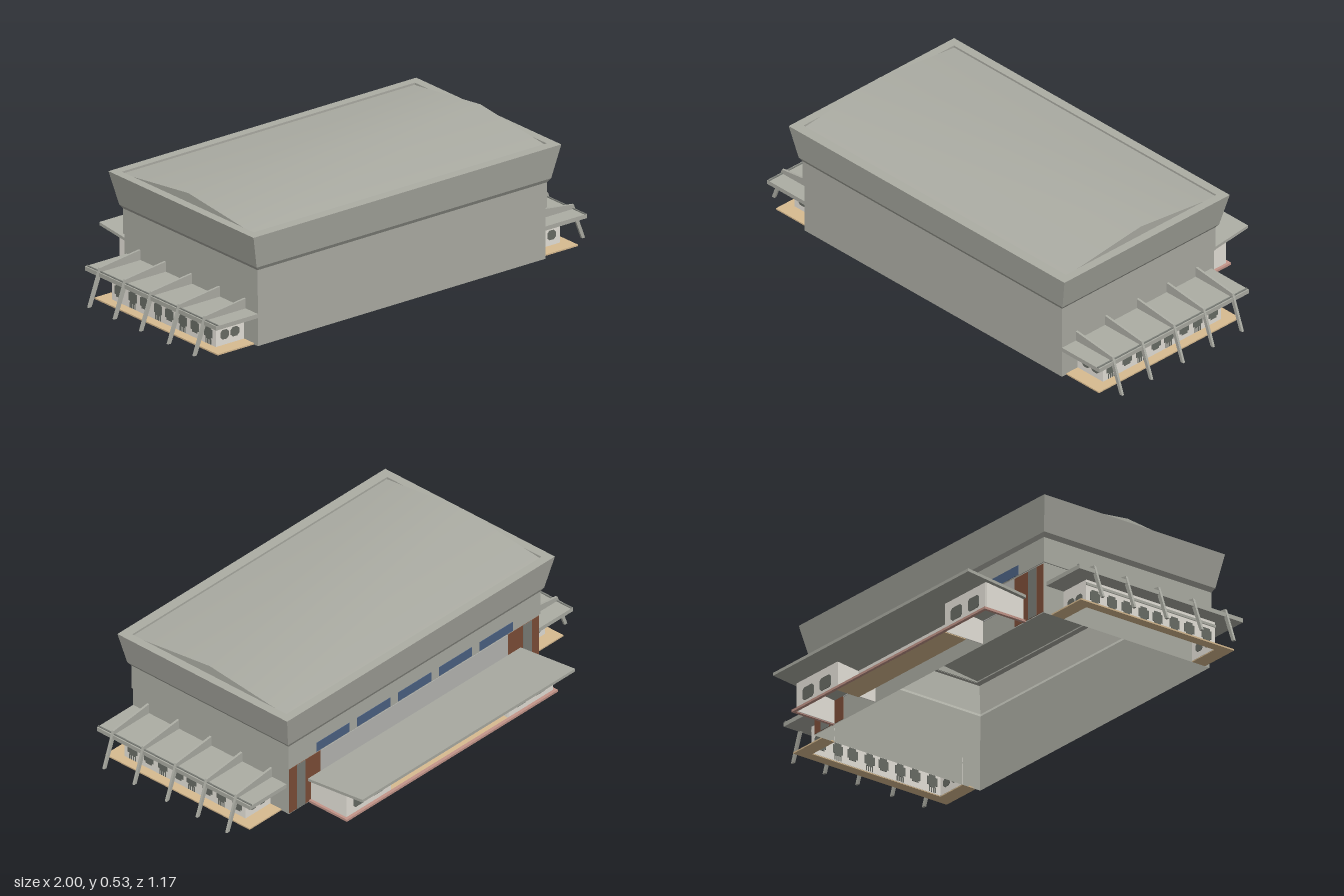
import * as THREE from 'three';

const mat = (name, color, side = THREE.FrontSide) => {
  const m = new THREE.MeshStandardMaterial({ color, side });
  m.name = name;
  return m;
};

export function createModel() {
  const model = new THREE.Group();
  model.name = 'hall';
  const M = {
    concrete: mat('concrete', 0xacada4, THREE.DoubleSide),
    paleConcrete: mat('paleConcrete', 0xb8b9b5),
    frame: mat('frameGrey', 0x7b7e78),
    plaster: mat('plaster', 0xebe7de, THREE.DoubleSide),
    opening: mat('darkOpening', 0x696d66),
    sand: mat('sandFloor', 0xd8bb90),
    terracotta: mat('terracotta', 0xc4968a),
    brick: mat('brownBrick', 0x7e4e38),
    glass: mat('blueGlass', 0x4c6284),
  };

  const add = (name, geo, material, parent = model) => {
    const mesh = new THREE.Mesh(geo, material);
    mesh.name = name;
    parent.add(mesh);
    return mesh;
  };
  // Box given by its limits on each axis
  const box = (name, material, xa, xb, y0, y1, z0, z1, parent) => {
    const g = new THREE.BoxGeometry(Math.abs(xb - xa), y1 - y0, z1 - z0);
    g.translate((xa + xb) / 2, (y0 + y1) / 2, (z0 + z1) / 2);
    return add(name, g, material, parent);
  };
  const shapeOf = (pts) => new THREE.Shape(pts.map((p) => new THREE.Vector2(p[0], p[1])));
  // Profile in x,y pushed along z
  const alongZ = (pts, z0, z1) =>
    new THREE.ExtrudeGeometry(shapeOf(pts), { depth: z1 - z0, bevelEnabled: false }).translate(0, 0, z0);
  // Profile in z,y pushed along x
  const alongX = (pts, x0, x1) =>
    new THREE.ExtrudeGeometry(shapeOf(pts), { depth: x1 - x0, bevelEnabled: false })
      .rotateY(-Math.PI / 2).translate(x1, 0, 0);
  // Window outline with cut corners
  const cutRect = (c, y, w, h, k = 0.01) => [
    [c - w / 2 + k, y - h / 2], [c + w / 2 - k, y - h / 2], [c + w / 2, y - h / 2 + k], [c + w / 2, y + h / 2 - k],
    [c + w / 2 - k, y + h / 2], [c - w / 2 + k, y + h / 2], [c - w / 2, y + h / 2 - k], [c - w / 2, y - h / 2 + k],
  ];
  // Window outline with square notched corners
  const notchRect = (c, y, w, h, k) => {
    const a = w / 2, b = h / 2;
    return [
      [-a + k, -b], [a - k, -b], [a - k, -b + k], [a, -b + k], [a, b - k], [a - k, b - k],
      [a - k, b], [-a + k, b], [-a + k, b - k], [-a, b - k], [-a, -b + k], [-a + k, -b + k],
    ].map(([u, v]) => [c + u, y + v]);
  };

  // Hall shell: rectangular rings [half width, back z, front z, y], open underneath
  const loft = (rings) => {
    const pos = [];
    const corners = ([w, b, f, y]) => [[-w, y, f], [w, y, f], [w, y, b], [-w, y, b]];
    for (let i = 0; i < rings.length - 1; i++) {
      const lo = corners(rings[i]), hi = corners(rings[i + 1]);
      for (let j = 0; j < 4; j++) {
        const k = (j + 1) % 4;
        for (const p of [lo[j], lo[k], hi[k], lo[j], hi[k], hi[j]]) pos.push(...p);
      }
    }
    const g = new THREE.BufferGeometry();
    g.setAttribute('position', new THREE.Float32BufferAttribute(pos, 3));
    g.computeVertexNormals();
    return g;
  };
  add('hallWalls', loft([
    [0.735, -0.29, 0.548, 0], [0.735, -0.29, 0.548, 0.22],
    [0.74, -0.293, 0.553, 0.22], [0.74, -0.293, 0.553, 0.328],
  ]), M.concrete);
  add('flaredParapet', loft([
    [0.74, -0.293, 0.553, 0.328], [0.753, -0.302, 0.563, 0.345], [0.787, -0.328, 0.585, 0.488],
    [0.749, -0.29, 0.54, 0.488], [0.749, -0.29, 0.54, 0.474],
  ]), M.concrete);

  // Low roof inside the parapet, softly shaded over the ridge
  const roof = new THREE.PlaneGeometry(1.494, 0.83, 1, 2).rotateX(-Math.PI / 2).translate(0, 0, 0.125);
  const rp = roof.attributes.position;
  for (let i = 0; i < rp.count; i++) rp.setY(i, 0.526 - 0.113 * Math.abs(rp.getZ(i) - 0.125));
  roof.computeVertexNormals();
  add('roof', roof, M.concrete);
  for (const x of [-0.747, 0.743])
    add('roofGable', alongX([[-0.29, 0.474], [0.54, 0.474], [0.54, 0.479], [0.125, 0.526], [-0.29, 0.479]], x, x + 0.004), M.concrete);

  // Back wall: pale band and window strips
  box('paleWallBand', M.paleConcrete, -0.55, 0.55, 0.1, 0.214, -0.292, -0.289);
  for (let i = -2; i <= 2; i++)
    box('stripWindow', M.glass, i * 0.24 - 0.097, i * 0.24 + 0.097, 0.222, 0.264, -0.295, -0.292);

  for (const s of [1, -1]) {
    // Brick ends of the back wall with a grey door
    box('brickPanel', M.brick, s * 0.55, s * 0.733, 0.004, 0.214, -0.292, -0.289);
    box('greyDoor', M.frame, s * 0.64, s * 0.69, 0.004, 0.214, -0.2935, -0.291);

    // Side wing: floor runs around a hollow room
    const wing = new THREE.Group();
    wing.name = s > 0 ? 'leftWing' : 'rightWing';
    model.add(wing);
    box('wingFloorOuter', M.sand, s * 0.878, s * 0.922, 0, 0.006, -0.25, 0.525, wing);
    box('wingFloorFront', M.sand, s * 0.735, s * 0.878, 0, 0.006, 0.46, 0.525, wing);
    box('wingFloorBack', M.sand, s * 0.735, s * 0.878, 0, 0.006, -0.25, -0.188, wing);
    box('wingSideWall', M.plaster, s * 0.877, s * 0.88, 0.004, 0.12, -0.19, 0.462, wing);
    box('wingFrontWall', M.plaster, s * 0.735, s * 0.88, 0.004, 0.12, 0.459, 0.462, wing);
    box('wingBackWall', M.plaster, s * 0.735, s * 0.88, 0.004, 0.12, -0.19, -0.187, wing);
    box('wingRoof', M.concrete, s * 0.735, s * 0.948, 0.12, 0.138, -0.277, 0.548, wing);
    box('edgeBeam', M.frame, s * 0.936, s * 0.942, 0.138, 0.142, -0.277, 0.548, wing);
    box('wallRail', M.concrete, s * 0.879, s * 0.884, 0.097, 0.108, -0.19, 0.462, wing);

    // Ribs over the wing roof ending in slanted legs
    for (const z of [0.467, 0.305, 0.13, -0.035, -0.195]) {
      add('roofRib', alongZ([[0.735, 0.13], [0.935, 0.13], [0.943, 0.156], [0.735, 0.181]].map(([x, y]) => [s * x, y]),
        z - 0.005, z + 0.005), M.concrete, wing);
      add('slantedLeg', alongZ([[0.985, 0], [1.0, 0], [0.943, 0.156], [0.922, 0.13], [0.936, 0.125]].map(([x, y]) => [s * x, y]),
        z - 0.005, z + 0.005), M.concrete, wing);
    }

    // Windows pierce the thin walls; every second one has bars below
    const xa = s > 0 ? 0.8745 : -0.8825;
    [0.417, 0.33, 0.255, 0.17, 0.1, 0.014, -0.06, -0.146].forEach((z, i) => {
      add('sideWindow', alongX(notchRect(z, 0.055, 0.05, 0.054, 0.009), xa, xa + 0.008), M.opening, wing);
      if (i % 2 === 0)
        for (const d of [-0.015, -0.005, 0.005, 0.015])
          box('lowerBar', M.opening, xa, xa + 0.008, 0.008, 0.03, z + d - 0.002, z + d + 0.002, wing);
    });
    for (const x of [0.783, 0.836])
      for (const z of [0.4565, -0.1925])
        add('endWindow', alongZ(cutRect(s * x, 0.05, 0.042, 0.04), z, z + 0.008), M.opening, wing);

    // Rear annex room, open underneath
    const room = new THREE.Group();
    room.name = 'annexRoom';
    model.add(room);
    const sideWall = [[-0.48, 0.004], [-0.29, 0.004], [-0.29, 0.108], [-0.48, 0.126]];
    for (const x of [0.345, 0.606])
      add('annexSideWall', alongX(sideWall, s * x - 0.002, s * x + 0.002), M.plaster, room);
    box('annexBackWall', M.plaster, s * 0.345, s * 0.606, 0.004, 0.126, -0.482, -0.479, room);
    for (const x of [0.42, 0.53])
      add('annexWindow', alongZ(cutRect(s * x, 0.06, 0.07, 0.055), -0.4845, -0.4765), M.opening, room);
    box('annexEndKerb', M.terracotta, s * 0.607, s * 0.62, 0, 0.01, -0.495, -0.29);
  }

  // Rear annex porch floor, recessed wall, kerb and upward-tilted canopy
  box('annexFloor', M.sand, -0.345, 0.345, 0, 0.008, -0.485, -0.375);
  box('annexRecessedWall', M.plaster, -0.345, 0.345, 0.004, 0.114, -0.377, -0.373);
  box('annexKerb', M.terracotta, -0.62, 0.62, 0, 0.01, -0.497, -0.483);
  add('annexCanopy', alongX([[-0.29, 0.104], [-0.29, 0.116], [-0.585, 0.149], [-0.585, 0.136]], -0.625, 0.625), M.concrete);

  return model;
}
